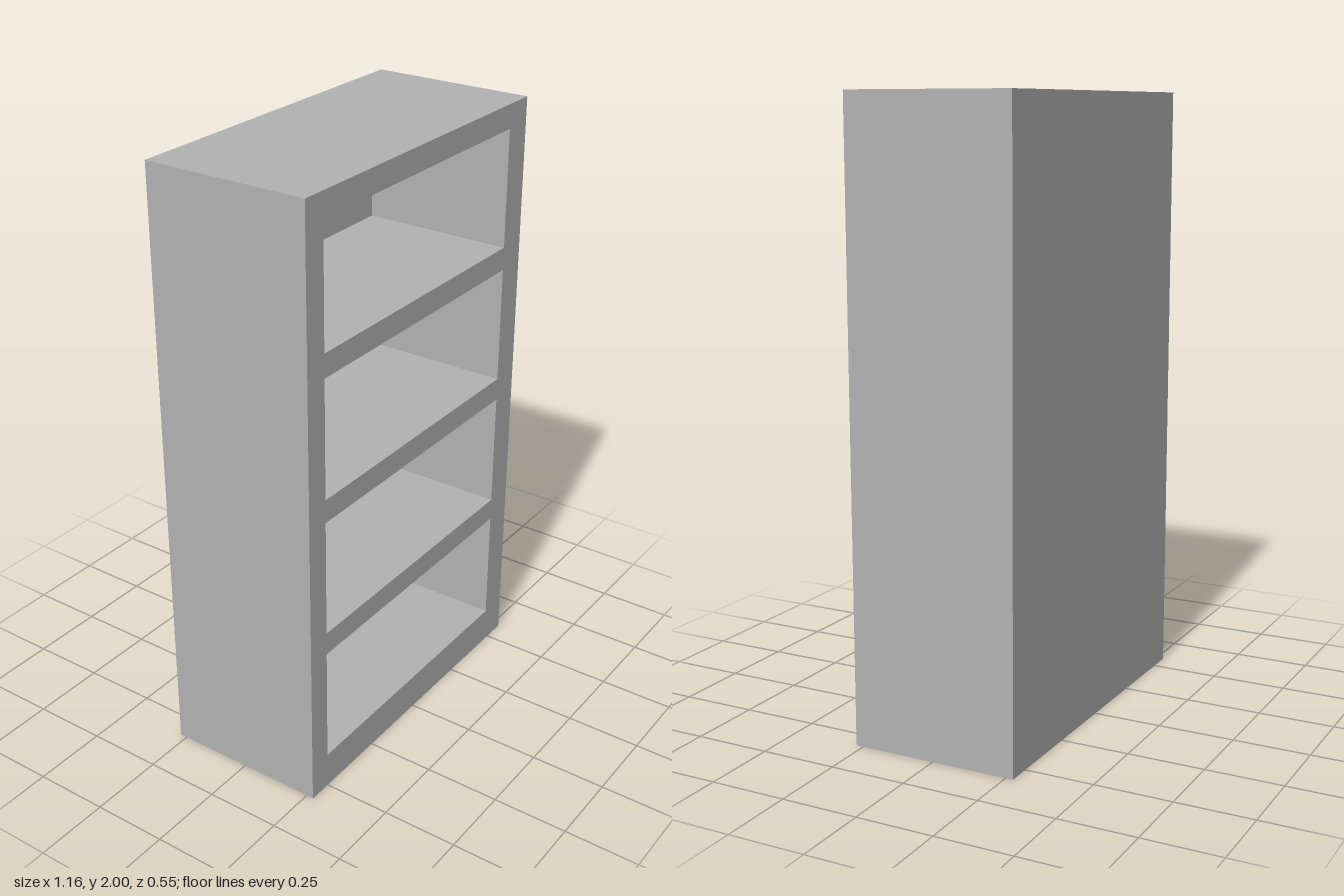
import * as THREE from 'three';

const W = 1.16, H = 2, D = 0.55;
const hole = { x0: -0.5, x1: 0.48, h: 0.392, depth: 0.515 };
const bottoms = [0, 1, 2, 3].map(i => 0.122 + i * 0.469);

// Box without its front face; inward turns it into a cavity lining
function openBox(w, h, d, inward) {
  const g = new THREE.BoxGeometry(w, h, d);
  const idx = Array.from(g.index.array);
  idx.splice(24, 6); // the +z face
  if (inward) {
    idx.reverse();
    const n = g.attributes.normal;
    for (let i = 0; i < n.count; i++) n.setXYZ(i, -n.getX(i), -n.getY(i), -n.getZ(i));
  }
  g.setIndex(idx);
  g.clearGroups();
  return g;
}

function rectangle(Type, x0, y0, x1, y1) {
  return new Type([[x0, y0], [x1, y0], [x1, y1], [x0, y1]].map(p => new THREE.Vector2(...p)));
}

export function createModel() {
  const group = new THREE.Group();
  group.name = 'bookcase';
  const grey = new THREE.MeshStandardMaterial({ color: 0xb2b2b2 });
  grey.name = 'grey';

  function add(name, geometry, x, y, z) {
    const mesh = new THREE.Mesh(geometry, grey);
    mesh.name = name;
    mesh.position.set(x, y, z);
    group.add(mesh);
  }

  // Outer case: sides, top, bottom and back
  add('case', openBox(W, H, D, false), 0, H / 2, 0);

  // Front frame with four openings
  const front = rectangle(THREE.Shape, -W / 2, 0, W / 2, H);
  bottoms.forEach(y => front.holes.push(rectangle(THREE.Path, hole.x0, y, hole.x1, y + hole.h)));
  add('frontFrame', new THREE.ShapeGeometry(front), 0, 0, D / 2);

  // Shelf compartments recessed behind the openings
  bottoms.forEach((y, i) => add('compartment' + (i + 1),
    openBox(hole.x1 - hole.x0, hole.h, hole.depth, true),
    (hole.x0 + hole.x1) / 2, y + hole.h / 2, D / 2 - hole.depth / 2));

  return group;
}
